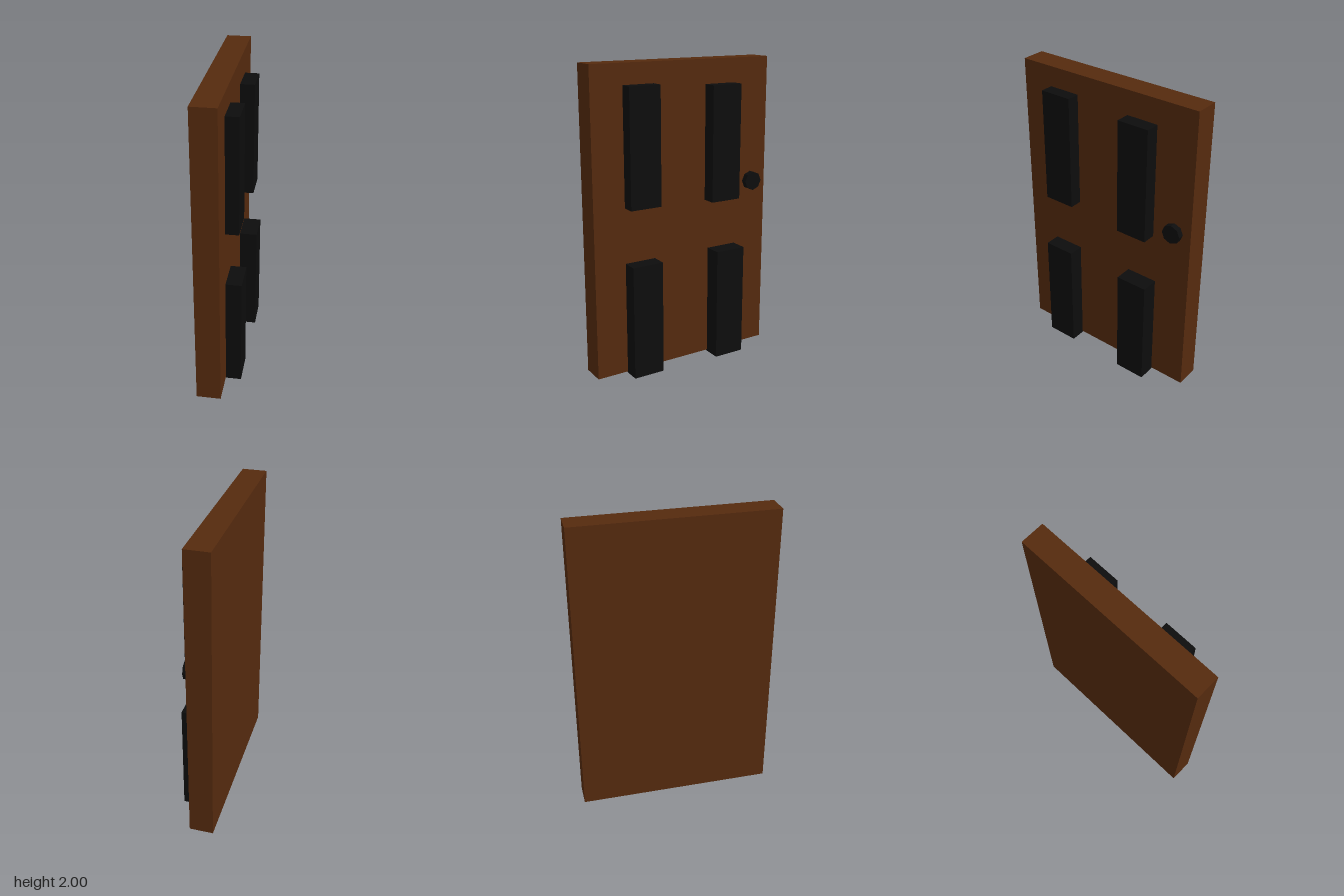
import * as THREE from 'three';

export function createModel() {
  const model = new THREE.Group();
  const wood = new THREE.MeshStandardMaterial({ color: 0x552a0e, flatShading: true });
  const black = new THREE.MeshStandardMaterial({ color: 0x0d0d0d, flatShading: true });

  // Box given by its lower and upper bounds on each axis
  function addBox(name, material, [x0, x1], [y0, y1], [z0, z1]) {
    const mesh = new THREE.Mesh(new THREE.BoxGeometry(x1 - x0, y1 - y0, z1 - z0), material);
    mesh.position.set((x0 + x1) / 2, (y0 + y1) / 2, (z0 + z1) / 2);
    mesh.name = name;
    model.add(mesh);
  }

  // Door slab, its decorated face towards +x
  addBox('doorSlab', wood, [-0.137, 0.02], [0.008, 2], [-0.643, 0.645]);

  // Four raised panels, slightly uneven in depth and placement
  addBox('upperFrontPanel', black, [0.01, 0.104], [1.115, 1.869], [0.217, 0.43]);
  addBox('upperBackPanel', black, [0.01, 0.112], [1.09, 1.843], [-0.373, -0.16]);
  addBox('lowerFrontPanel', black, [0.01, 0.121], [0, 0.754], [0.22, 0.432]);
  addBox('lowerBackPanel', black, [0.01, 0.135], [0, 0.754], [-0.4, -0.188]);

  // Eight-sided door knob
  const knob = new THREE.Mesh(new THREE.CylinderGeometry(0.063, 0.063, 0.05, 8), black);
  knob.rotation.z = -Math.PI / 2;
  knob.position.set(0.034, 1.18, -0.524);
  knob.name = 'doorKnob';
  model.add(knob);

  return model;
}
